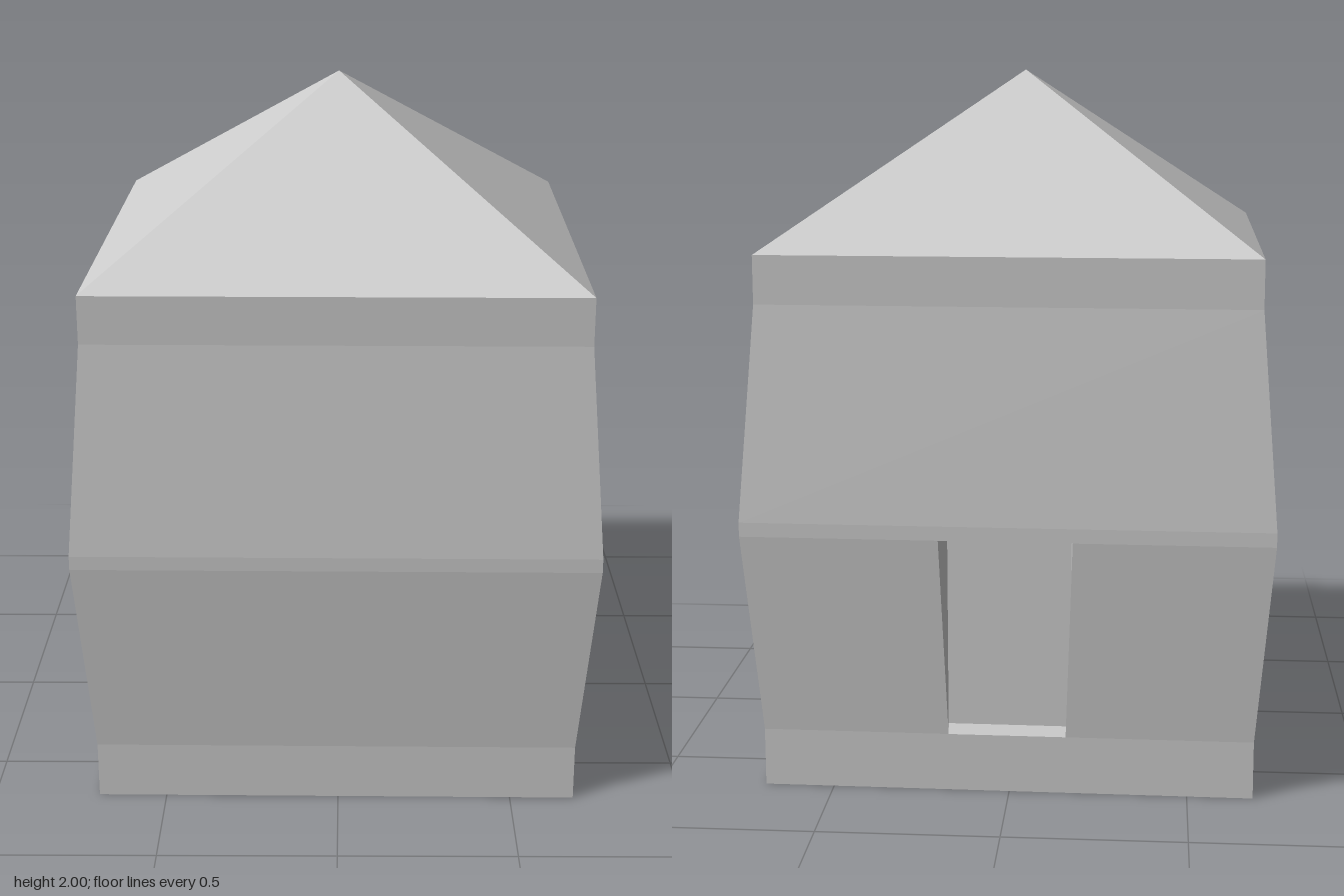
import * as THREE from 'three';

// Builds a flat-shaded mesh from quads, corners anticlockwise seen from outside
function quadMesh(name, quads, material) {
  const pos = [];
  for (const [a, b, c, d] of quads) pos.push(...a, ...b, ...c, ...a, ...c, ...d);
  const geo = new THREE.BufferGeometry();
  geo.setAttribute('position', new THREE.Float32BufferAttribute(pos, 3));
  geo.computeVertexNormals();
  const mesh = new THREE.Mesh(geo, material);
  mesh.name = name;
  return mesh;
}

export function createModel() {
  const group = new THREE.Group();
  group.name = 'house';
  const grey = new THREE.MeshStandardMaterial({ color: 0xcccccc, flatShading: true });

  // Wall profile: [half width, height]
  const profile = [[0.69, 0], [0.69, 0.165], [0.737, 0.74], [0.737, 0.78], [0.69, 1.38], [0.69, 1.515]];
  const ring = ([w, y]) => [[w, y, w], [w, y, -w], [-w, y, -w], [-w, y, w]];
  const walls = [];
  const BACK = 1, DOOR_BAND = 1;
  for (let i = 0; i < profile.length - 1; i++) {
    const lo = ring(profile[i]), hi = ring(profile[i + 1]);
    for (let s = 0; s < 4; s++) {
      if (i === DOOR_BAND && s === BACK) continue;
      const n = (s + 1) % 4;
      walls.push([lo[s], lo[n], hi[n], hi[s]]);
    }
  }
  // Floor underside
  const floor = ring(profile[0]);
  walls.push([floor[3], floor[2], floor[1], floor[0]]);

  // Back panel on both sides of the doorway, which fills the band's height
  const [wLo, yLo] = profile[1], [wHi, yHi] = profile[2];
  const low = (x) => [x, yLo, -wLo], high = (x) => [x, yHi, -wHi];
  const dLo = 0.165, dHi = 0.185;
  walls.push([low(wLo), low(dLo), high(dHi), high(wHi)]);
  walls.push([low(-dLo), low(-wLo), high(-wHi), high(-dHi)]);
  group.add(quadMesh('walls', walls, grey));

  // Doorway recess: upright back plane, two jambs, sill and lintel
  const zIn = -0.605, wIn = 0.175;
  const inner = (x, y) => [x, y, zIn];
  const a = inner(wIn, yLo), b = inner(-wIn, yLo), c = inner(-wIn, yHi), d = inner(wIn, yHi);
  group.add(quadMesh('doorway', [
    [a, b, c, d],
    [low(dLo), a, d, high(dHi)],
    [b, low(-dLo), high(-dHi), c],
    [low(dLo), low(-dLo), b, a],
    [d, c, high(-dHi), high(dHi)],
  ], grey));

  // Pyramid roof
  const roofGeo = new THREE.ConeGeometry(0.69 * Math.SQRT2, 0.485, 4, 1, true);
  roofGeo.rotateY(Math.PI / 4);
  const roof = new THREE.Mesh(roofGeo, grey);
  roof.name = 'roof';
  roof.position.y = 1.515 + 0.485 / 2;
  group.add(roof);

  // The whole building sits slightly turned
  group.rotation.y = -0.0085;
  return group;
}
